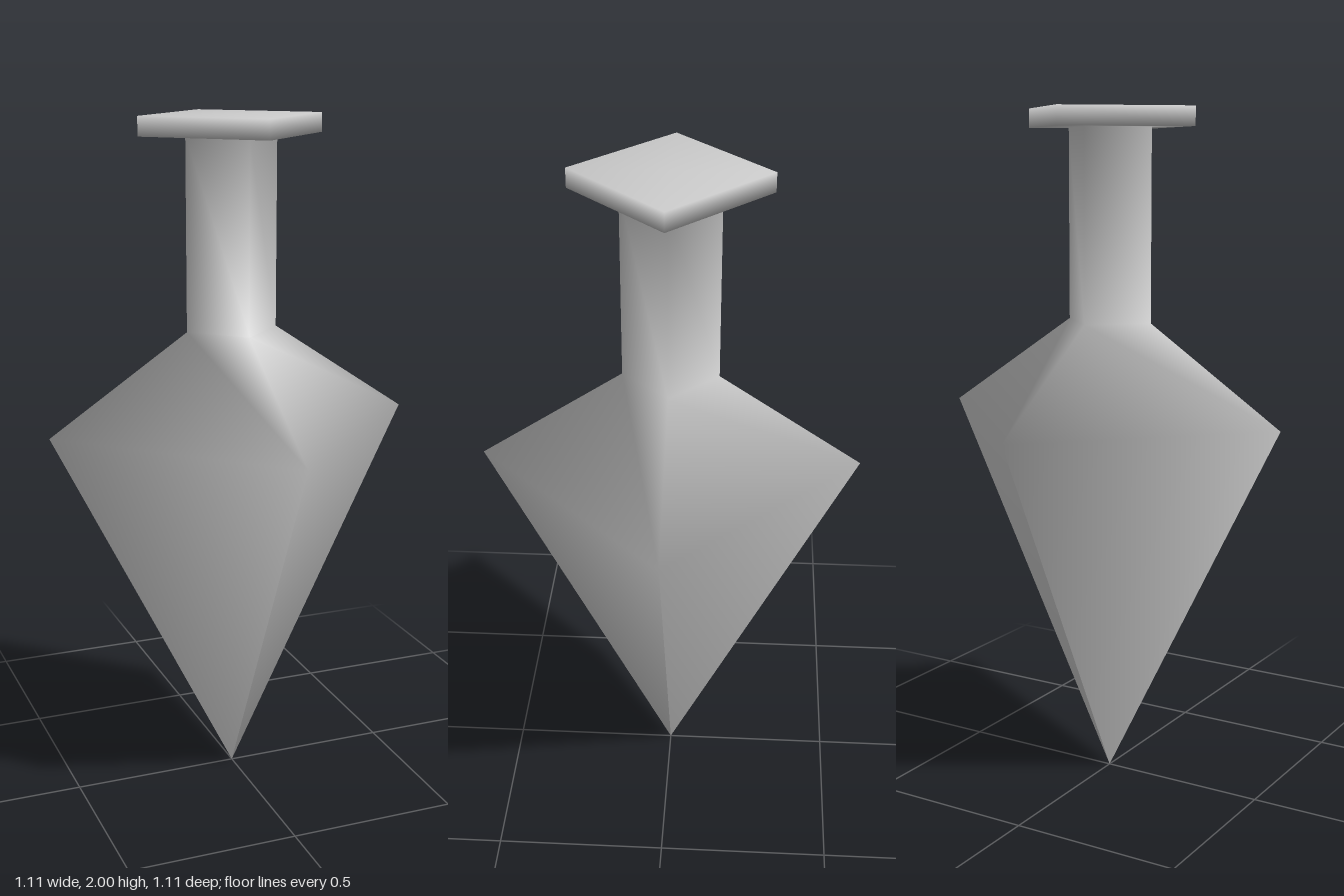
import * as THREE from 'three';

export function createModel() {
  const group = new THREE.Group();
  group.name = 'plumbBob';
  const grey = new THREE.MeshStandardMaterial({ color: 0xcccccc });
  grey.name = 'grey';

  // Profile from the tip up: radius, height
  const profile = [
    [0, 0],          // pointed tip
    [0.5556, 1.1111], // widest shoulder
    [0.1389, 1.3889], // foot of the neck
    [0.1389, 1.9444], // top of the neck
    [0.2778, 1.9444], // cap underside
    [0.2778, 2],     // cap rim
    [0, 2],          // cap centre
  ].map(([r, y]) => new THREE.Vector2(r, y));

  // Four-sided turned body with smooth normals, corners on the axes
  const body = new THREE.Mesh(new THREE.LatheGeometry(profile, 4), grey);
  body.name = 'bobBody';
  group.add(body);
  return group;
}
